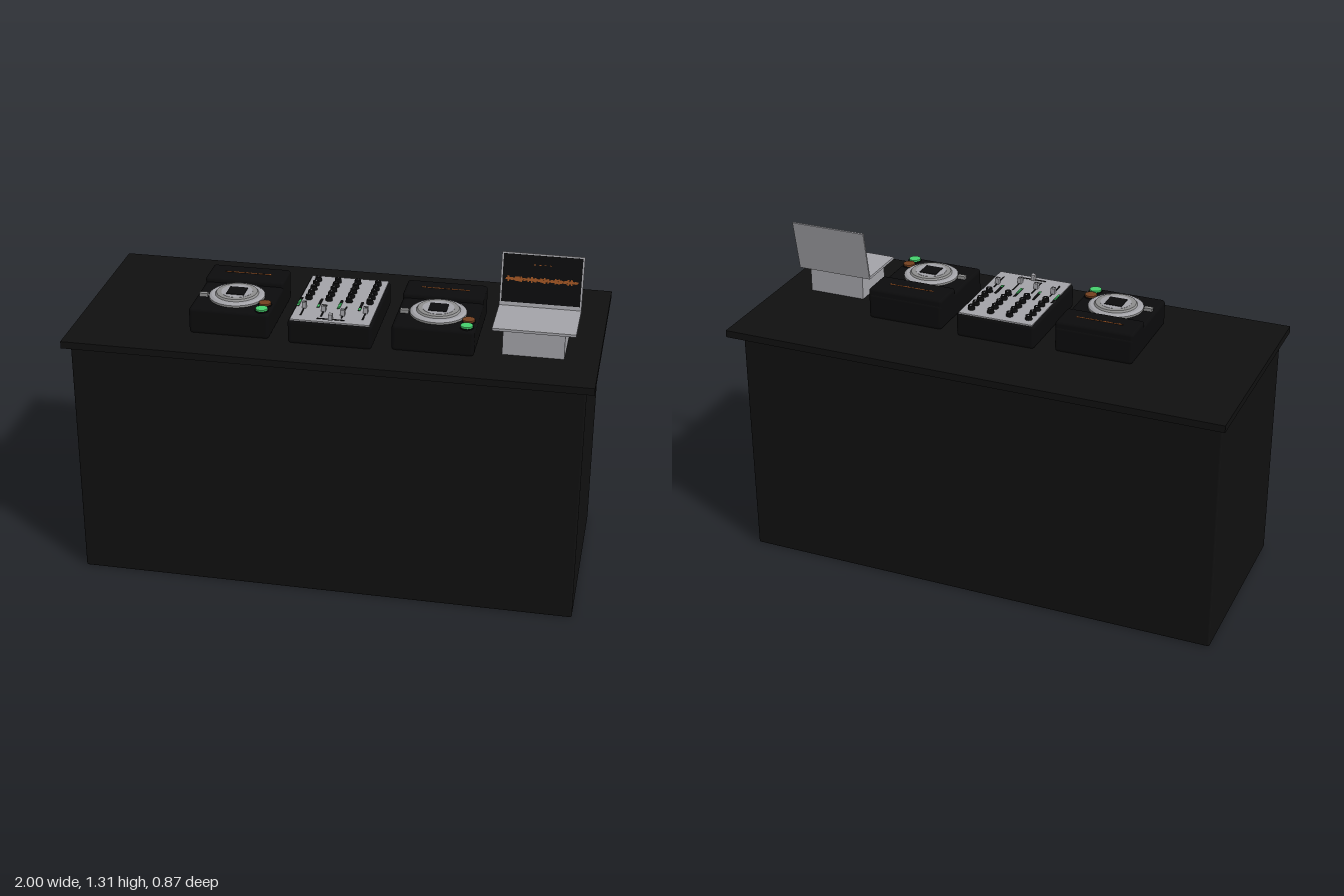
import * as THREE from 'three';
import { RoundedBoxGeometry } from 'three/addons/geometries/RoundedBoxGeometry.js';

const material = (name, color) => {
  const m = new THREE.MeshStandardMaterial({ color });
  m.name = name;
  return m;
};

export function createModel() {
  const deskBlack = material('desk black', 0x101010);
  const gearBlack = material('gear black', 0x0b0b0c);
  const silver = material('silver', 0xa3a3a8);
  const platterGrey = material('platter grey', 0x8e8e8e);
  const green = material('green light', 0x45cf6c);
  const orange = material('waveform orange', 0x9c5322);
  const brown = material('cue brown', 0x74401f);

  const root = new THREE.Group();
  root.name = 'djBooth';

  const group = (parent, name, x = 0, y = 0, z = 0) => {
    const g = new THREE.Group();
    g.name = name;
    g.position.set(x, y, z);
    parent.add(g);
    return g;
  };
  const add = (parent, name, geometry, mat, x, y, z) => {
    const m = new THREE.Mesh(geometry, mat);
    m.name = name;
    m.position.set(x, y, z);
    parent.add(m);
    return m;
  };
  const box = (parent, name, mat, w, h, d, x, y, z) =>
    add(parent, name, new THREE.BoxGeometry(w, h, d), mat, x, y, z);
  const rounded = (parent, name, mat, w, h, d, r, x, y, z) =>
    add(parent, name, new RoundedBoxGeometry(w, h, d, 3, r), mat, x, y, z);
  const disc = (parent, name, mat, rTop, rBottom, h, x, y, z, sides = 40) =>
    add(parent, name, new THREE.CylinderGeometry(rTop, rBottom, h, sides), mat, x, y, z);

  // Row of thin bars of changing height, lying along x; flat on top or upright
  const waveform = (parent, width, height, count, upright) => {
    for (let i = 0; i < count; i++) {
      const a = height * (0.3 + 0.7 * Math.abs(Math.sin(i * 1.7) * Math.cos(i * 0.45)));
      const x = (i / (count - 1) - 0.5) * width;
      const w = width / count * 1.01;
      box(parent, 'waveformBar', orange, w, upright ? a : 0.002, upright ? 0.002 : a, x, 0, 0);
    }
  };

  // Desk
  rounded(root, 'deskBody', deskBlack, 1.94, 0.972, 0.77, 0.008, 0, 0.486, 0.027);
  box(root, 'deskTop', deskBlack, 2, 0.028, 0.872, 0, 0.986, 0);

  // Players
  const makePlayer = (name, x) => {
    const p = group(root, name, x, 1, 0);
    rounded(p, 'playerBody', gearBlack, 0.31, 0.105, 0.39, 0.014, 0, 0.0525, 0.075);
    rounded(p, 'displayHousing', gearBlack, 0.31, 0.06, 0.135, 0.012, 0, 0.095, -0.05);
    waveform(group(p, 'displayWaveform', 0, 0.1255, -0.05), 0.177, 0.007, 22, false);

    const jog = group(p, 'jogWheel', 0, 0, 0.129);
    disc(jog, 'jogBase', platterGrey, 0.107, 0.107, 0.01, 0, 0.108, 0);
    disc(jog, 'jogRim', silver, 0.097, 0.107, 0.006, 0, 0.116, 0);
    disc(jog, 'jogPlate', platterGrey, 0.078, 0.084, 0.008, 0, 0.122, 0);
    disc(jog, 'jogRing', silver, 0.06, 0.06, 0.003, 0, 0.1255, 0);
    box(jog, 'jogDisplay', gearBlack, 0.07, 0.003, 0.07, 0, 0.1275, 0);

    box(p, 'sideLever', platterGrey, 0.032, 0.014, 0.018, -0.125, 0.111, 0.148);
    for (const [label, mat, z] of [['cueButton', brown, 0.184], ['playButton', green, 0.237]]) {
      disc(p, label + 'Rim', gearBlack, 0.026, 0.026, 0.005, 0.122, 0.106, z, 24);
      disc(p, label, mat, 0.023, 0.023, 0.012, 0.122, 0.109, z, 24);
    }
  };
  makePlayer('rightPlayer', -0.39);
  makePlayer('leftPlayer', 0.386);

  // Mixer
  const mixer = group(root, 'mixer', 0, 1, 0.073);
  rounded(mixer, 'mixerBody', gearBlack, 0.32, 0.098, 0.425, 0.014, 0, 0.049, 0);
  box(mixer, 'mixerFaceplate', silver, 0.302, 0.006, 0.416, 0, 0.097, 0);
  const faderOffsets = [0.166, 0.184, 0.208, 0.171];
  const litSegments = [5, 2, 5, 2];
  [-0.119, -0.041, 0.037, 0.117].forEach((x, c) => {
    for (let r = 0; r < 5; r++) {
      const z = -0.162 + r * 0.0435;
      disc(mixer, 'knob', gearBlack, 0.012, 0.014, 0.018, x, 0.108, z, 16);
      box(mixer, 'knobMark', silver, 0.003, 0.001, 0.008, x, 0.1174, z - 0.006);
    }
    // Level meter with green segments at the front end
    box(mixer, 'meter', gearBlack, 0.01, 0.002, 0.08, x - 0.028, 0.1005, 0.046);
    for (let s = 0; s < litSegments[c]; s++)
      box(mixer, 'meterLight', green, 0.009, 0.002, 0.008, x - 0.028, 0.1018, 0.08 - s * 0.0105);
    // Channel fader
    box(mixer, 'faderSlot', gearBlack, 0.006, 0.002, 0.105, x, 0.1005, 0.112);
    box(mixer, 'faderCap', silver, 0.016, 0.023, 0.02, x, 0.1115, faderOffsets[c] - 0.073);
    box(mixer, 'faderCapLine', gearBlack, 0.016, 0.001, 0.003, x, 0.1234, faderOffsets[c] - 0.073);
  });
  box(mixer, 'crossfaderSlot', gearBlack, 0.105, 0.002, 0.007, 0, 0.1005, 0.183);
  box(mixer, 'crossfaderCap', silver, 0.014, 0.023, 0.02, 0, 0.1115, 0.183);

  // Laptop on its stand
  const laptop = group(root, 'laptop', 0.755, 1, 0);
  box(laptop, 'laptopStand', silver, 0.23, 0.098, 0.194, 0, 0.049, 0.123);
  box(laptop, 'laptopBase', silver, 0.31, 0.01, 0.218, 0, 0.103, 0.122);
  const lid = group(laptop, 'laptopLid', 0, 0.102, 0.014);
  lid.rotation.x = -0.2;
  box(lid, 'lidShell', silver, 0.31, 0.21, 0.007, 0, 0.105, 0);
  box(lid, 'screen', gearBlack, 0.296, 0.184, 0.002, 0, 0.112, 0.004);
  waveform(group(lid, 'screenWaveform', 0, 0.11, 0.0052), 0.265, 0.024, 40, true);
  for (let i = 0; i < 4; i++)
    box(lid, 'screenMark', orange, 0.008, 0.003, 0.001, -0.03 + i * 0.02, 0.168, 0.0055);

  return root;
}
